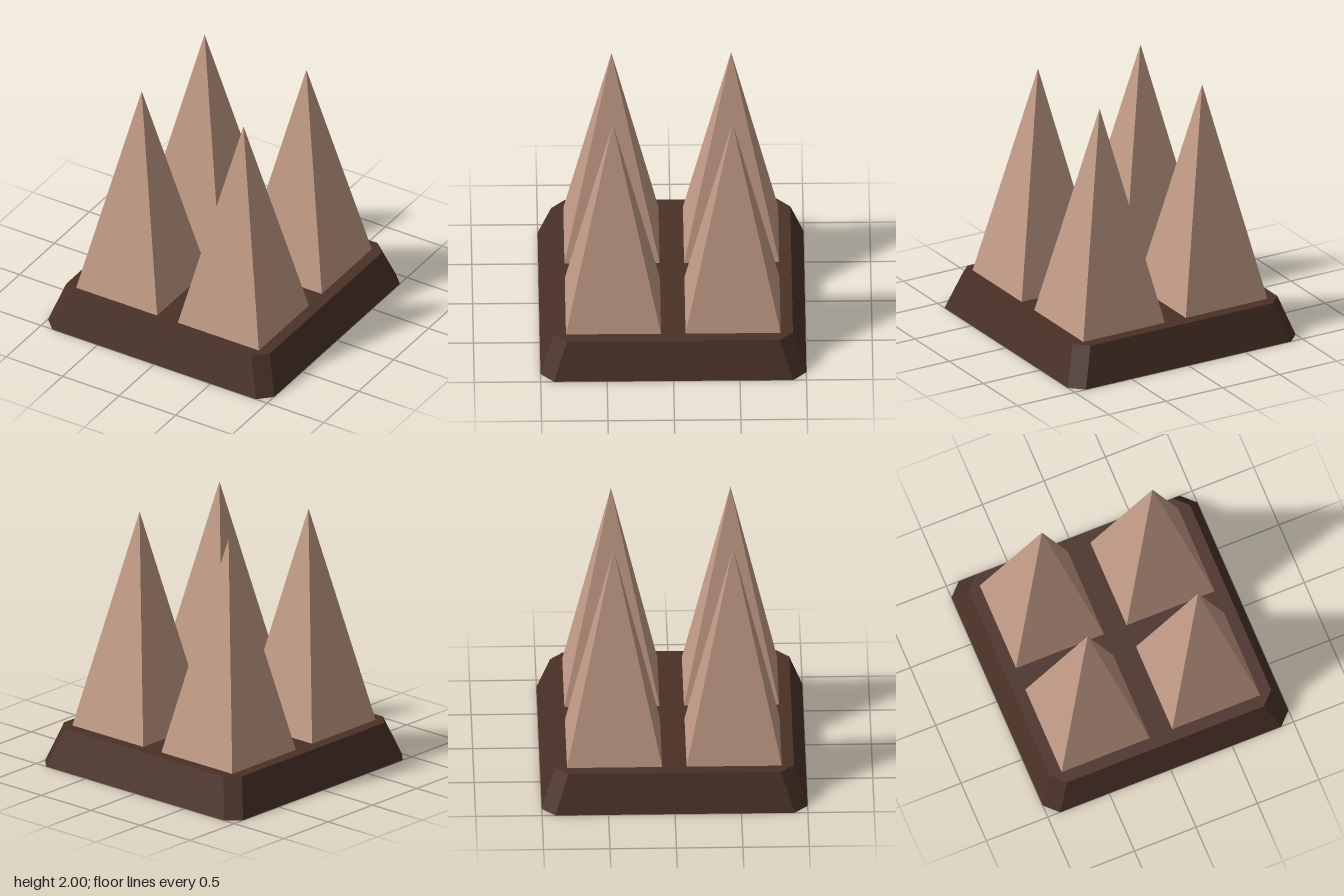
import * as THREE from 'three';

const BASE_HEIGHT = 0.3;
const SPIKE_HALF = 0.358;
const SPIKE_OFFSET = 0.45;
const TOTAL_HEIGHT = 2;

// Square slab with clipped corners, its top drawn in by 0.1 on every side
function baseGeometry() {
  const outline = [
    [1, 0.9], [0.9, 1], [-0.9, 1], [-1, 0.9],
    [-1, -0.9], [-0.9, -1], [0.9, -1], [1, -0.9],
  ].map(([x, y]) => new THREE.Vector2(x, y));
  const geometry = new THREE.ExtrudeGeometry(new THREE.Shape(outline), {
    depth: BASE_HEIGHT, bevelEnabled: false,
  });
  geometry.rotateX(-Math.PI / 2);
  const p = geometry.attributes.position;
  for (let i = 0; i < p.count; i++) {
    if (p.getY(i) > BASE_HEIGHT / 2) {
      p.setX(i, p.getX(i) - 0.1 * Math.sign(p.getX(i)));
      p.setZ(i, p.getZ(i) - 0.1 * Math.sign(p.getZ(i)));
    }
  }
  geometry.computeVertexNormals();
  return geometry;
}

// Tall four-sided pyramid standing on the slab
function spikeGeometry() {
  const height = TOTAL_HEIGHT - BASE_HEIGHT;
  const cone = new THREE.ConeGeometry(SPIKE_HALF * Math.SQRT2, height, 4, 1, true, Math.PI / 4);
  cone.translate(0, BASE_HEIGHT + height / 2, 0);
  const geometry = cone.toNonIndexed();
  geometry.computeVertexNormals();
  return geometry;
}

export function createModel() {
  const darkBrown = new THREE.MeshStandardMaterial({ color: 0x4a3127 });
  darkBrown.name = 'dark brown';
  const paleClay = new THREE.MeshStandardMaterial({ color: 0xc49d88 });
  paleClay.name = 'pale clay';
  darkBrown.flatShading = paleClay.flatShading = true;

  const model = new THREE.Group();
  model.name = 'spikeTrap';

  const base = new THREE.Mesh(baseGeometry(), darkBrown);
  base.name = 'base';
  model.add(base);

  // Two by two spikes
  const geometry = spikeGeometry();
  for (const [zSide, zName] of [[1, 'front'], [-1, 'back']]) {
    for (const [xSide, xName] of [[1, 'Left'], [-1, 'Right']]) {
      const spike = new THREE.Mesh(geometry, paleClay);
      spike.name = `${zName}${xName}Spike`;
      spike.position.set(xSide * SPIKE_OFFSET, 0, zSide * SPIKE_OFFSET);
      model.add(spike);
    }
  }
  return model;
}
